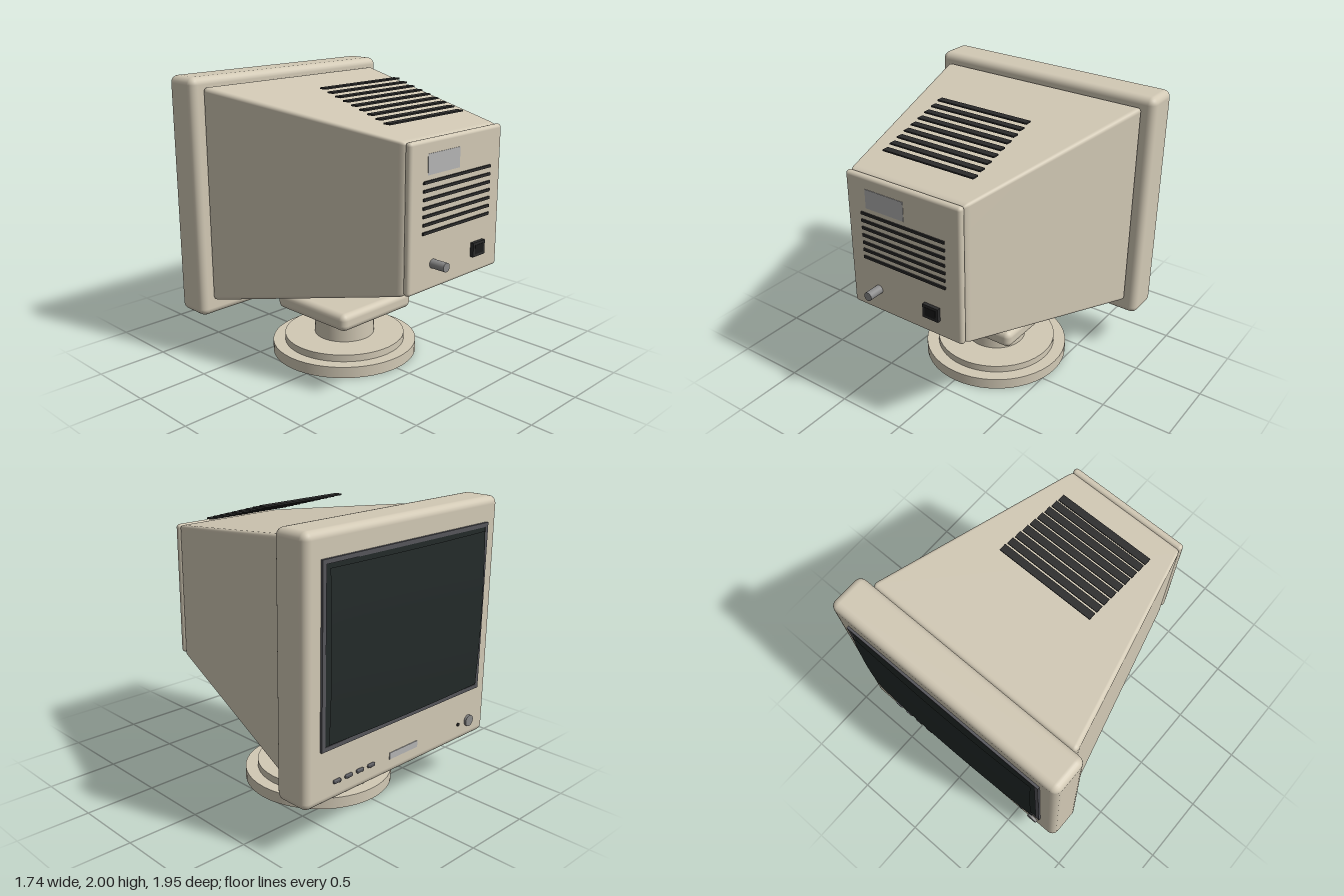
import * as THREE from 'three';
import { mergeVertices } from 'three/addons/utils/BufferGeometryUtils.js';
import { RoundedBoxGeometry } from 'three/addons/geometries/RoundedBoxGeometry.js';

const material = (color, side = THREE.FrontSide) => new THREE.MeshStandardMaterial({ color, side });

export function createModel() {
  const model = new THREE.Group();
  const beige = material(0xd2c9b5);
  const dark = material(0x2b2b2b);
  const black = material(0x1a1a1a);
  const grey = material(0x8a8a8a);
  const silver = material(0xb4b4b4);
  const trim = material(0x55555a);
  const glass = material(0x232a29, THREE.DoubleSide);

  const add = (name, geometry, mat, x, y, z, parent = model) => {
    const mesh = new THREE.Mesh(geometry, mat);
    mesh.name = name;
    mesh.position.set(x, y, z);
    parent.add(mesh);
    return mesh;
  };
  const group = (name) => {
    const g = new THREE.Group();
    g.name = name;
    model.add(g);
    return g;
  };
  const box = (w, h, d) => new THREE.BoxGeometry(w, h, d);
  const disc = (r, h) => new THREE.CylinderGeometry(r, r, h, 48);
  const rod = (r, d, n = 24) => new THREE.CylinderGeometry(r, r, d, n).rotateX(Math.PI / 2);

  // Swivel stand
  const stand = group('stand');
  const standZ = -0.135;
  add('baseDisc', disc(0.52, 0.08), beige, 0, 0.04, standZ, stand);
  add('upperDisc', disc(0.433, 0.05), beige, 0, 0.105, standZ, stand);
  add('neck', disc(0.215, 0.2), beige, 0, 0.23, standZ, stand);
  add('swivelBlock', new RoundedBoxGeometry(0.69, 0.125, 0.69, 3, 0.045), beige, 0, 0.373, standZ, stand);

  // Housing: a rounded box tapered along z
  const depth = 1.47;
  let housing = new RoundedBoxGeometry(2, 2, depth, 3, 0.04);
  const p = housing.attributes.position;
  const lerp = THREE.MathUtils.lerp;
  for (let i = 0; i < p.count; i++) {
    const t = p.getZ(i) / depth + 0.5;
    p.setXY(i, p.getX(i) * lerp(0.795, 0.44, t), lerp(1.19, 1.25, t) + p.getY(i) * lerp(0.75, 0.477, t));
  }
  housing.deleteAttribute('normal');
  housing.deleteAttribute('uv');
  housing = mergeVertices(housing, 1e-4);
  housing.computeVertexNormals();
  add('housing', housing, beige, 0, 0, 0.085);

  // Screen surround, its trim frame and the bulging glass
  add('bezel', new RoundedBoxGeometry(1.74, 1.67, 0.26, 3, 0.05), beige, 0, 1.165, -0.785);
  const rectangle = (path, w, h) => path
    .moveTo(-w, -h).lineTo(w, -h).lineTo(w, h).lineTo(-w, h).closePath();
  const frame = rectangle(new THREE.Shape(), 0.75, 0.575);
  frame.holes.push(rectangle(new THREE.Path(), 0.722, 0.547));
  add('screenFrame', new THREE.ExtrudeGeometry(frame, { depth: 0.018, bevelEnabled: false }), trim, 0, 1.265, -0.931);
  add('screenBacking', box(1.446, 1.096, 0.015), glass, 0, 1.265, -0.919);

  const screen = new THREE.PlaneGeometry(1.41, 1.06, 20, 16).rotateY(Math.PI);
  const s = screen.attributes.position;
  for (let i = 0; i < s.count; i++) {
    s.setZ(i, 0.015 * (s.getX(i) / 0.705) ** 2 + 0.015 * (s.getY(i) / 0.53) ** 2);
  }
  screen.computeVertexNormals();
  add('screenGlass', screen, glass, 0, 1.26, -0.972);

  // Controls under the screen
  const controls = group('controls');
  for (let i = 0; i < 4; i++) {
    add('button', new RoundedBoxGeometry(0.06, 0.025, 0.024, 2, 0.008), trim, 0.61 - i * 0.1, 0.46, -0.918, controls);
  }
  add('namePlate', box(0.27, 0.045, 0.008), silver, 0, 0.46, -0.916, controls);
  add('indicatorLight', rod(0.012, 0.016, 12), dark, -0.57, 0.46, -0.916, controls);
  add('powerButton', rod(0.04, 0.024), grey, -0.68, 0.46, -0.92, controls);

  // Panel on the narrow end, with vents and sockets
  const panel = group('connectorPanel');
  add('panelPlate', new RoundedBoxGeometry(0.885, 0.95, 0.05, 3, 0.023), beige, 0, 1.255, 0.84, panel);
  for (let i = 0; i < 7; i++) {
    add('panelVent', box(0.65, 0.018, 0.014), dark, 0, 1.474 - i * 0.0525, 0.868, panel);
  }
  add('ratingLabel', box(0.3, 0.13, 0.006), silver, -0.135, 1.58, 0.865, panel);
  add('signalCable', rod(0.03, 0.115), grey, -0.22, 0.948, 0.918, panel);
  add('powerSocket', box(0.12, 0.095, 0.028), dark, 0.215, 0.948, 0.876, panel);
  add('socketRecess', box(0.085, 0.06, 0.004), black, 0.215, 0.948, 0.89, panel);

  // Stepped vent slats above the housing
  const vents = group('topVents');
  for (let i = 0; i < 9; i++) {
    add('topVent', box(0.7, 0.01, 0.05), dark, 0, 1.951 - i * 0.0195, 0.035 + i * 0.0695, vents);
  }

  return model;
}
